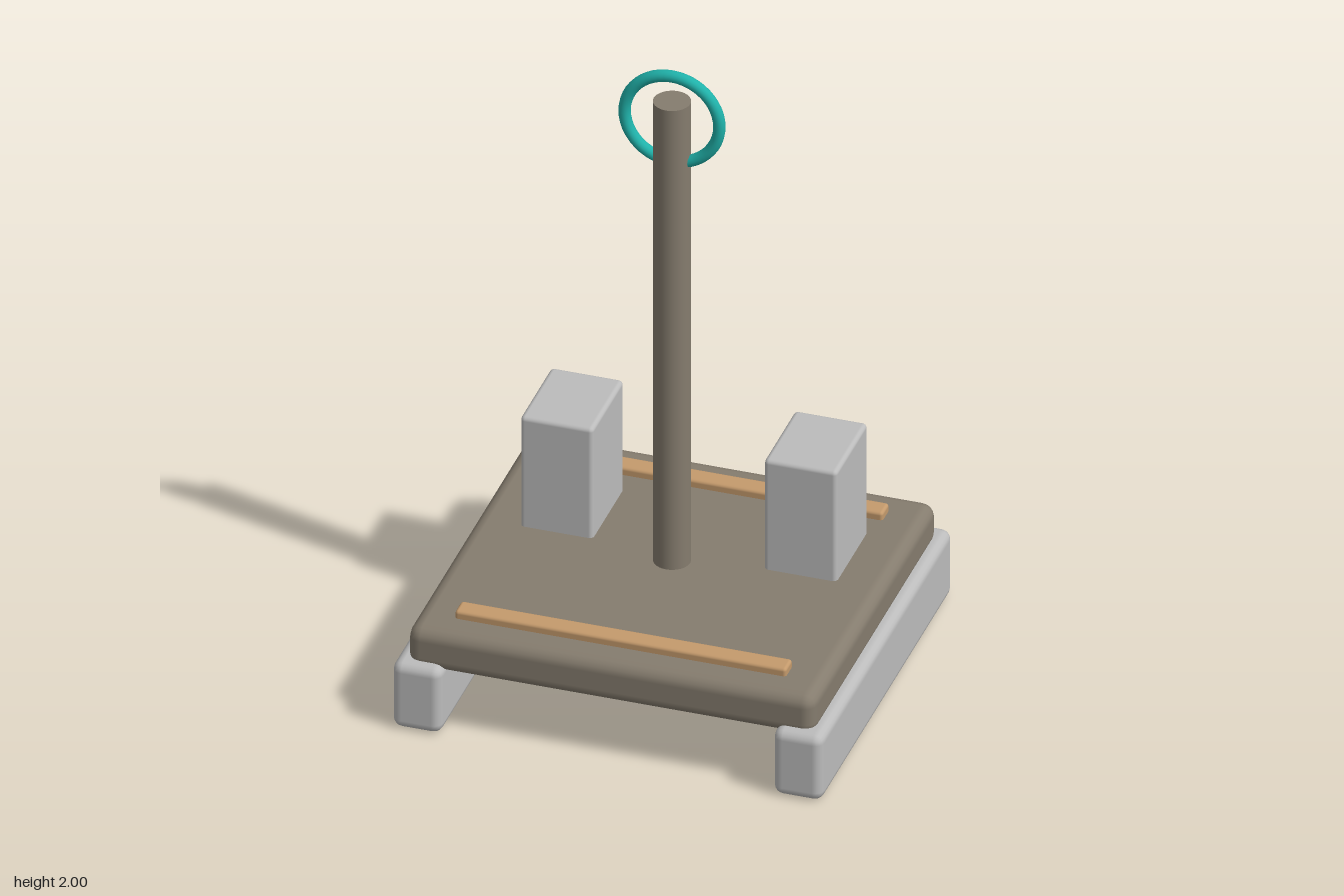
import * as THREE from 'three';
import { RoundedBoxGeometry } from 'three/addons/geometries/RoundedBoxGeometry.js';

const material = (name, color) => {
  const m = new THREE.MeshStandardMaterial({ color });
  m.name = name;
  return m;
};

export function createModel() {
  const model = new THREE.Group();
  model.name = 'polePlatform';
  const taupe = material('taupe', 0x857c6e);
  const grey = material('light grey', 0xbcbcbc);
  const tan = material('tan wood', 0xc49a6c);
  const teal = material('teal', 0x20b2aa);

  const add = (name, geometry, mat, x, y, z) => {
    const mesh = new THREE.Mesh(geometry, mat);
    mesh.name = name;
    mesh.position.set(x, y, z);
    model.add(mesh);
  };
  // Box with softened edges, resting at height y0
  const block = (name, mat, w, y0, y1, d, r, x, z) =>
    add(name, new RoundedBoxGeometry(w, y1 - y0, d, 2, r), mat, x, (y0 + y1) / 2, z);

  // Deck
  block('deck', taupe, 1.23, 0.195, 0.33, 1.13, 0.04, 0, 0);

  // Skids and upright blocks, mirrored left and right
  for (const [side, s] of [['left', 1], ['right', -1]]) {
    block(side + 'Skid', grey, 0.15, 0.005, 0.225, 1.2, 0.03, s * 0.575, 0);
    block(side + 'Block', grey, 0.22, 0.31, 0.7, 0.285, 0.014, s * 0.368, -0.2);
  }

  // Thin slats across the deck
  for (const [end, s] of [['front', 1], ['back', -1]])
    block(end + 'Slat', tan, 1, 0.315, 0.355, 0.062, 0.01, 0, s * 0.441);

  // Pole, just clear of the deck, with the ring through its top
  add('pole', new THREE.CylinderGeometry(0.055, 0.055, 1.555, 32), taupe, 0, 1.1225, 0);
  add('ring', new THREE.TorusGeometry(0.143, 0.018, 16, 48), teal, 0, 1.84, 0);

  return model;
}
